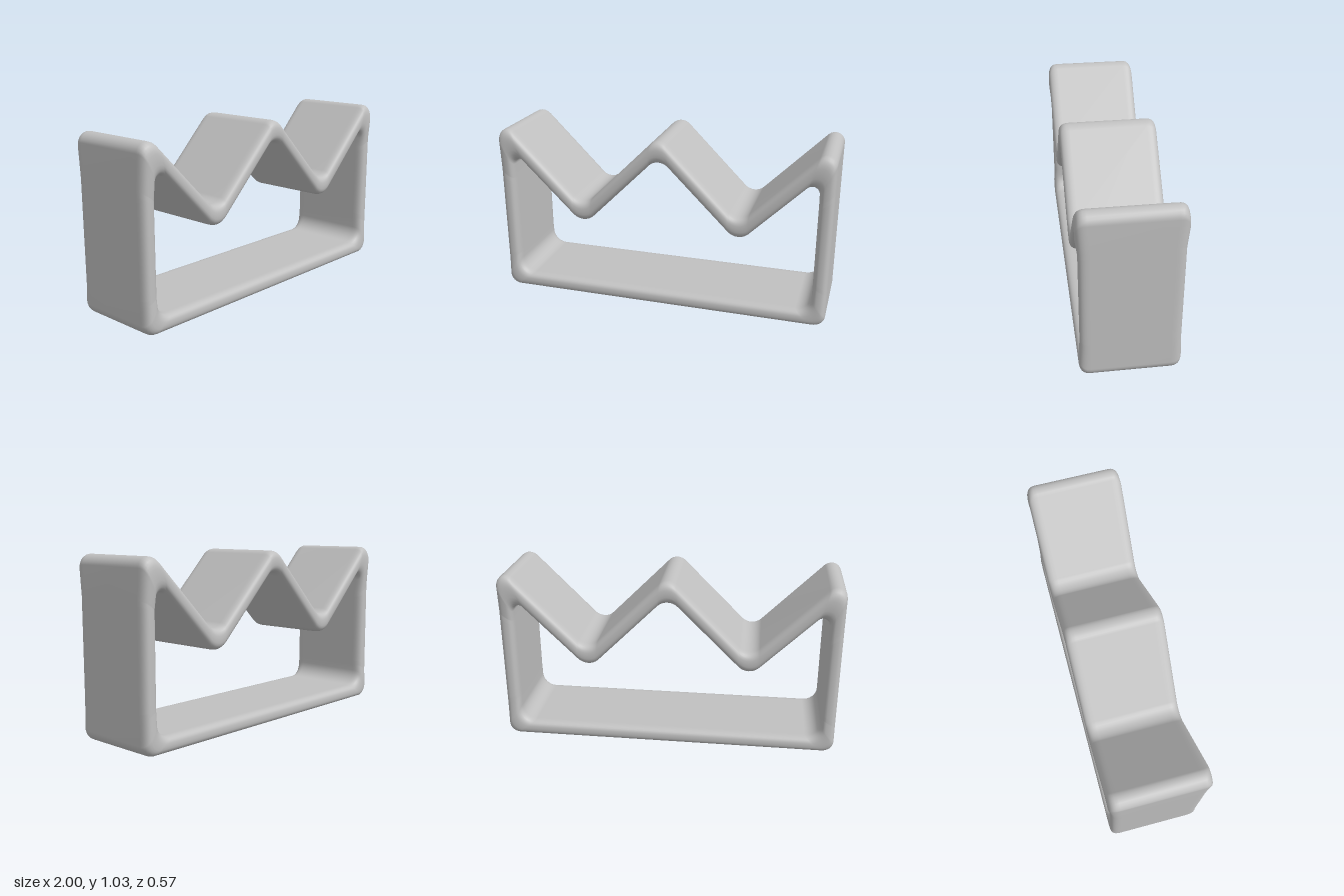
import * as THREE from 'three';

const ARC = 8; // segments per rounded corner

// Right half of the band, bottom to top: outer corner, outer radius, inner corner, inner radius, half depth
const half = [
  [1, 0, 0.06, 0.915, 0.09, 0.09, 0.277],
  [1, 0.2, 0, 0.915, 0.25, 0, 0.272],
  [1, 0.78, 0, 0.915, 0.72, 0, 0.273],
  [1, 1.11, 0.057, 0.915, 0.905, 0.04, 0.285],
  [0.475, 0.585, 0.085, 0.475, 0.465, 0.085, 0.28],
];
const peak = [0, 1.06, 0.07, 0, 0.94, 0.085, 0.284];
const mirror = ([ox, oy, or, ix, iy, ir, d]) => [-ox, oy, or, -ix, iy, ir, d];
const corners = [...half, peak, ...half.map(mirror).reverse()];

// Points along a closed polygon with filleted corners
function filletLoop(points, radii) {
  const out = [];
  points.forEach((p, i) => {
    const n = points.length;
    const a = points[(i + n - 1) % n].clone().sub(p).normalize();
    const b = points[(i + 1) % n].clone().sub(p).normalize();
    const r = radii[i];
    if (!r) { // straight through
      for (let j = 0; j <= ARC; j++) out.push(p.clone().addScaledVector(b, 0.004 * j));
      return;
    }
    const h = Math.acos(a.dot(b)) / 2;
    const c = a.clone().add(b).normalize().multiplyScalar(r / Math.sin(h)).add(p);
    const t = r / Math.tan(h);
    const s = p.clone().addScaledVector(a, t).sub(c);
    const e = p.clone().addScaledVector(b, t).sub(c);
    const sweep = Math.atan2(s.cross(e), s.dot(e));
    for (let j = 0; j <= ARC; j++) {
      out.push(s.clone().rotateAround(new THREE.Vector2(), sweep * j / ARC).add(c));
    }
  });
  return out;
}

// Cross-section: across runs 1 (outer) to -1 (inner), inset is the distance from the rim
function sectionPoints() {
  const pts = [], N = 14, soft = 2 / 2.6;
  for (const side of [1, -1]) {
    for (let k = 0; k <= N; k++) {
      const a = Math.PI * k / N;
      const c = Math.cos(a), s = Math.max(0, Math.sin(a));
      pts.push({
        across: side * Math.sign(c) * Math.pow(Math.abs(c), soft),
        side,
        inset: 0.06 * (1 - Math.pow(s, soft)),
      });
    }
  }
  return pts;
}

function bandGeometry() {
  const outer = filletLoop(corners.map(c => new THREE.Vector2(c[0], c[1])), corners.map(c => c[2]));
  const inner = filletLoop(corners.map(c => new THREE.Vector2(c[3], c[4])), corners.map(c => c[5]));
  const section = sectionPoints();
  const positions = [], index = [];
  const n = outer.length, m = section.length;
  for (let i = 0; i < n; i++) {
    const depth = corners[Math.floor(i / (ARC + 1))][6];
    for (let k = 0; k < m; k++) {
      const { across, side, inset } = section[k];
      const p = inner[i].clone().lerp(outer[i], (across + 1) / 2);
      positions.push(p.x, p.y, side * (depth - inset));
      const i2 = (i + 1) % n, k2 = (k + 1) % m;
      const a = i * m + k, b = i2 * m + k, c = i2 * m + k2, d = i * m + k2;
      index.push(a, b, d, b, c, d);
    }
  }
  const g = new THREE.BufferGeometry();
  g.setAttribute('position', new THREE.Float32BufferAttribute(positions, 3));
  g.setIndex(index);
  g.computeVertexNormals();
  return g;
}

export function createModel() {
  const group = new THREE.Group();
  group.name = 'crownBand';
  const grey = new THREE.MeshStandardMaterial({ color: 0xc0c0c0 });
  grey.name = 'light grey';
  const band = new THREE.Mesh(bandGeometry(), grey);
  band.name = 'zigzagFrame';
  group.add(band);
  return group;
}
